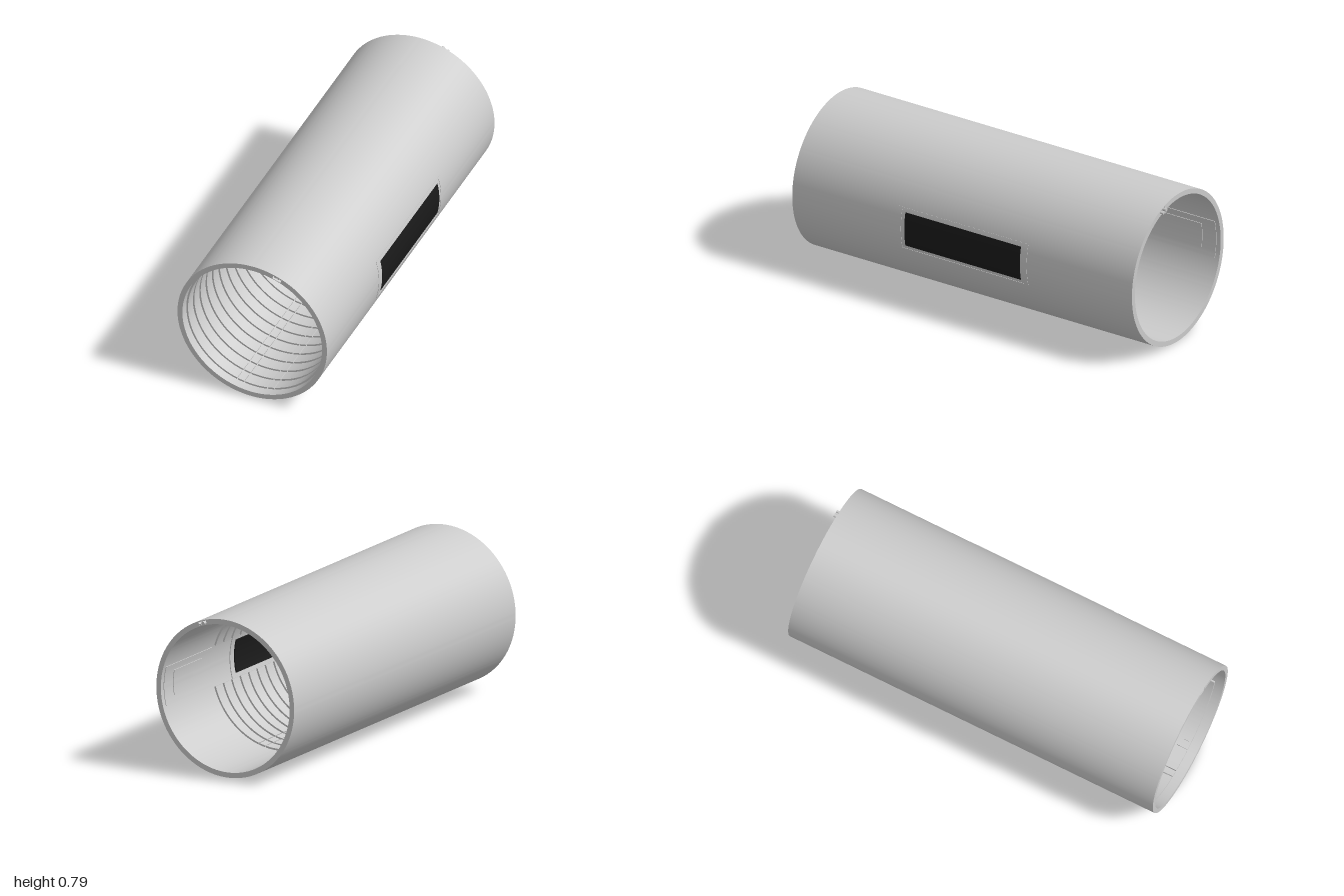
import * as THREE from 'three';
import { toCreasedNormals } from 'three/addons/utils/BufferGeometryUtils.js';

const R_OUT = 0.396, R_IN = 0.37, R_LINER = 0.361;
const Z_BACK = -0.985, Z_FRONT = 1;
const rad = THREE.MathUtils.degToRad;

const grey = new THREE.MeshStandardMaterial({ color: 0xcccccc });
const black = new THREE.MeshStandardMaterial({ color: 0x1a1a1a });

// Extrude a shape between two z values, with smooth curved walls
function extrude(shape, z0, z1, curveSegments) {
  const geo = new THREE.ExtrudeGeometry(shape, { depth: z1 - z0, bevelEnabled: false, curveSegments });
  geo.translate(0, 0, z0);
  return toCreasedNormals(geo, 0.5);
}

// Curved block between two radii and two angles (degrees, from +x)
function sector(r0, r1, a0, a1, z0, z1) {
  const shape = new THREE.Shape();
  shape.absarc(0, 0, r1, rad(a0), rad(a1), false);
  shape.absarc(0, 0, r0, rad(a1), rad(a0), true);
  shape.closePath();
  return extrude(shape, z0, z1, Math.max(3, Math.ceil((a1 - a0) / 3)));
}

export function createModel() {
  const model = new THREE.Group();
  model.name = 'tubeSection';
  const body = new THREE.Group();
  body.name = 'body';
  body.position.y = R_OUT;
  model.add(body);

  const add = (name, geo, mat = grey, parent = body) => {
    const mesh = new THREE.Mesh(geo, mat);
    mesh.name = name;
    parent.add(mesh);
    return mesh;
  };

  // Tube wall with a small tilted slot running through it near the top
  const slotAngle = rad(70);
  const centre = new THREE.Vector2(Math.cos(slotAngle), Math.sin(slotAngle)).multiplyScalar(0.382);
  const tilt = slotAngle - Math.PI / 2;
  const slotPoint = (u, v) => new THREE.Vector2(u, v).rotateAround(new THREE.Vector2(), tilt).add(centre);
  const wall = new THREE.Shape().absarc(0, 0, R_OUT, 0, Math.PI * 2, false);
  wall.holes.push(new THREE.Path().absarc(0, 0, R_IN, 0, Math.PI * 2, true));
  wall.holes.push(new THREE.Path([
    slotPoint(-0.023, -0.009), slotPoint(-0.023, 0.009), slotPoint(0.023, 0.009), slotPoint(0.023, -0.009),
  ]));
  add('tubeWall', extrude(wall, Z_BACK, Z_FRONT, 128));

  // Connector rods inside the slot, projecting slightly at the back
  for (const [u, v, r] of [[-0.012, 0, 0.009], [0.004, -0.004, 0.005], [0.015, 0.001, 0.006]]) {
    const p = slotPoint(u, v);
    const rod = add('connectorRod', new THREE.CylinderGeometry(r, r, 1.99, 20));
    rod.rotation.x = Math.PI / 2;
    rod.position.set(p.x, p.y, -0.005);
  }

  // Liner ribs, broken by the floor slots and the window bay
  const arcs = [[16.5, 254], [254.8, 260], [260.8, 279.2], [280, 285.2], [286, 343.5]];
  const pitch = 0.075, ribWidth = 0.058;
  const ribGeometries = arcs.map(([a0, a1]) => sector(R_LINER, R_IN + 0.003, a0, a1, 0, ribWidth));
  for (let i = 0; i < 20; i++) {
    const rib = new THREE.Group();
    rib.name = 'linerRib';
    rib.position.z = -0.53 + i * pitch;
    body.add(rib);
    for (const geo of ribGeometries) add('ribSegment', geo, grey, rib);
  }

  // Dark window pane set through the right-hand wall
  add('windowPane', sector(0.364, 0.3968, -13, 13, -0.33, 0.345), black);

  // Thin window frame, outside and inside
  for (const [r0, r1] of [[0.39, 0.3978], [0.366, 0.375]]) {
    for (const a of [-16.3, 15.5]) add('frameRail', sector(r0, r1, a, a + 0.8, -0.37, 0.385));
    for (const z of [-0.37, 0.365]) add('frameEnd', sector(r0, r1, -15.5, 15.5, z, z + 0.02));
  }

  // Stepped access panels inside the rear end, on both sides
  for (const side of [0, 180]) {
    add('accessPanel', sector(0.367, 0.373, side - 15.5, side + 15.5, -0.96, -0.55));
    add('accessPanelCentre', sector(0.364, 0.37, side - 10, side + 10, -0.88, -0.63));
  }

  return model;
}
